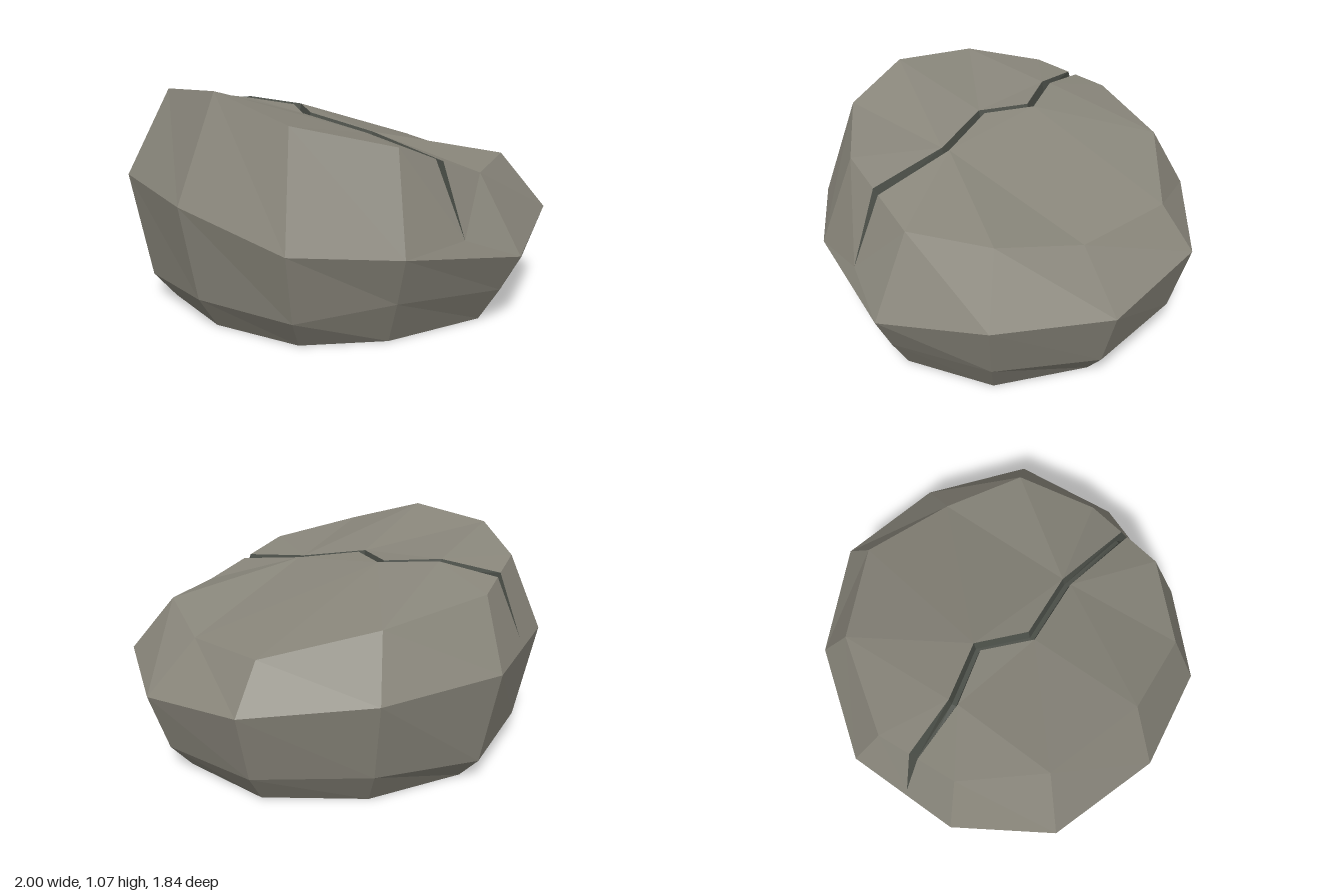
import * as THREE from 'three';

const V = (x, y, z) => new THREE.Vector3(x, y, z);

// Widest ring and rim of the top face, running round from the back
const MID = [
  [-0.29, 0.56, -0.925], [0.3, 0.53, -0.877], [0.8, 0.47, -0.567], [1, 0.4, -0.03],
  [0.9, 0.44, 0.51], [0.5, 0.34, 0.86], [-0.11, 0.425, 0.915], [-0.57, 0.457, 0.77],
  [-0.89, 0.59, 0.337], [-1, 0.63, -0.21], [-0.775, 0.6, -0.636],
].map(p => V(...p));
const TOP = [
  [-0.315, 0.875, -0.765], [0.21, 0.8, -0.743], [0.66, 0.67, -0.48], [0.75, 0.632, -0.01],
  [0.71, 0.706, 0.396], [0.4, 0.69, 0.668], [-0.064, 0.855, 0.754], [-0.487, 0.95, 0.61],
  [-0.7, 1.065, 0.283], [-0.797, 1.035, -0.166], [-0.652, 0.958, -0.54],
].map(p => V(...p));
const LOW_Y = [0.11, 0.16, 0.143, 0.12, 0.17, 0.165, 0.205, 0.137, 0.15, 0.12, 0.13];
const LOW = MID.map((p, i) => V(p.x * 0.91, LOW_Y[i], p.z * 0.91));
const BASE = MID.map(p => V(p.x * 0.81, 0, p.z * 0.81));
const N = MID.length;

// Crack line over the top, back to front, ending on the rim
const backEnd = TOP[10].clone().lerp(TOP[0], 0.53);
const frontEnd = TOP[6].clone().lerp(TOP[5], 0.48);
const CRACK = [backEnd, V(-0.33, 0.945, -0.41), V(-0.13, 0.92, -0.21),
  V(-0.18, 0.91, 0.04), V(0.02, 0.845, 0.32), frontEnd];
const TIPS = [
  backEnd.clone().lerp(MID[10].clone().lerp(MID[0], 0.46), 0.85),
  frontEnd.clone().lerp(MID[6].clone().lerp(MID[5], 0.54), 0.82),
];

// Direction across the crack, towards +x
function across(i) {
  if (i === 0) return TOP[0].clone().sub(TOP[10]).normalize();
  if (i === CRACK.length - 1) return TOP[5].clone().sub(TOP[6]).normalize();
  const a = CRACK[i].clone().sub(CRACK[i - 1]).setY(0).normalize();
  const b = CRACK[i + 1].clone().sub(CRACK[i]).setY(0).normalize();
  const t = a.add(b).normalize();
  return V(t.z, 0, -t.x);
}
const edge = w => CRACK.map((p, i) => p.clone().addScaledVector(across(i), w));
const floorEdge = w => edge(w).map((p, i) => {
  p.y -= 0.055;
  if (i === 0) p.z += 0.03;
  if (i === CRACK.length - 1) p.z -= 0.03;
  return p;
});

// Flat-faced geometry from triangles, each turned away from the centre
function facets(tris, centre = V(0, 0.4, 0)) {
  const pos = [];
  for (const [a, b, c] of tris) {
    const n = b.clone().sub(a).cross(c.clone().sub(a));
    const mid = a.clone().add(b).add(c).divideScalar(3).sub(centre);
    const order = n.dot(mid) >= 0 ? [a, b, c] : [a, c, b];
    order.forEach(p => pos.push(p.x, p.y, p.z));
  }
  const g = new THREE.BufferGeometry();
  g.setAttribute('position', new THREE.Float32BufferAttribute(pos, 3));
  g.computeVertexNormals();
  return g;
}
const quad = (a, b, c, d) => [[a, b, c], [a, c, d]];

export function createModel() {
  const stone = new THREE.MeshStandardMaterial({ color: 0x88857a, flatShading: true });
  stone.name = 'stone';
  const crackStone = new THREE.MeshStandardMaterial({ color: 0x4d514a, flatShading: true, side: THREE.DoubleSide });
  crackStone.name = 'crackStone';

  const group = new THREE.Group();
  group.name = 'crackedBoulder';
  const add = (name, tris, mat) => {
    const m = new THREE.Mesh(facets(tris), mat);
    m.name = name;
    group.add(m);
  };

  const L = edge(-0.023), R = edge(0.023);
  const FL = floorEdge(-0.011), FR = floorEdge(0.011);
  const last = CRACK.length - 1;

  // Base and side bands
  const sides = [];
  const foot = [];
  for (let i = 0; i < N; i++) {
    const j = (i + 1) % N;
    foot.push([V(0, 0, 0), BASE[i], BASE[j]]);
    sides.push(...quad(BASE[i], BASE[j], LOW[j], LOW[i]));
    sides.push(...quad(LOW[i], LOW[j], MID[j], MID[i]));
    if (i !== 5 && i !== 10) sides.push(...quad(MID[i], MID[j], TOP[j], TOP[i]));
  }
  // The two side faces that the crack runs down into
  for (const [l, r, k, tip] of [[10, 0, 0, TIPS[0]], [6, 5, last, TIPS[1]]]) {
    sides.push([TOP[l], L[k], tip], [TOP[l], tip, MID[l]], [MID[l], tip, MID[r]],
      [tip, TOP[r], MID[r]], [R[k], TOP[r], tip]);
  }
  add('base', foot, stone);
  add('sides', sides, stone);

  // Sloping top, in two halves along the crack
  const T = TOP;
  add('topLeftHalf', [
    [R[5], T[5], R[4]], [T[5], T[4], R[4]], [T[4], T[3], R[4]], [T[3], R[2], R[4]],
    [R[2], R[3], R[4]], [T[3], T[2], R[2]], [T[2], T[1], R[2]], [T[1], R[1], R[2]],
    [T[1], T[0], R[1]], [T[0], R[0], R[1]],
  ], stone);
  add('topRightHalf', [
    [L[5], T[6], L[4]], [T[6], T[7], L[4]], [T[7], T[8], L[4]], [T[8], L[3], L[4]],
    [T[8], T[9], L[3]], [T[9], L[1], L[3]], [L[1], L[2], L[3]], [T[9], T[10], L[1]],
    [T[10], L[0], L[1]],
  ], stone);

  // Walls and floor of the crack, tapering to a tip at each end
  const groove = [];
  for (let i = 0; i < last; i++) {
    groove.push(...quad(L[i], L[i + 1], FL[i + 1], FL[i]));
    groove.push(...quad(FL[i], FL[i + 1], FR[i + 1], FR[i]));
    groove.push(...quad(FR[i], FR[i + 1], R[i + 1], R[i]));
  }
  [[0, TIPS[0]], [last, TIPS[1]]].forEach(([k, tip]) => {
    groove.push([L[k], FL[k], tip], [FL[k], FR[k], tip], [FR[k], R[k], tip]);
  });
  add('crack', groove, crackStone);

  return group;
}
